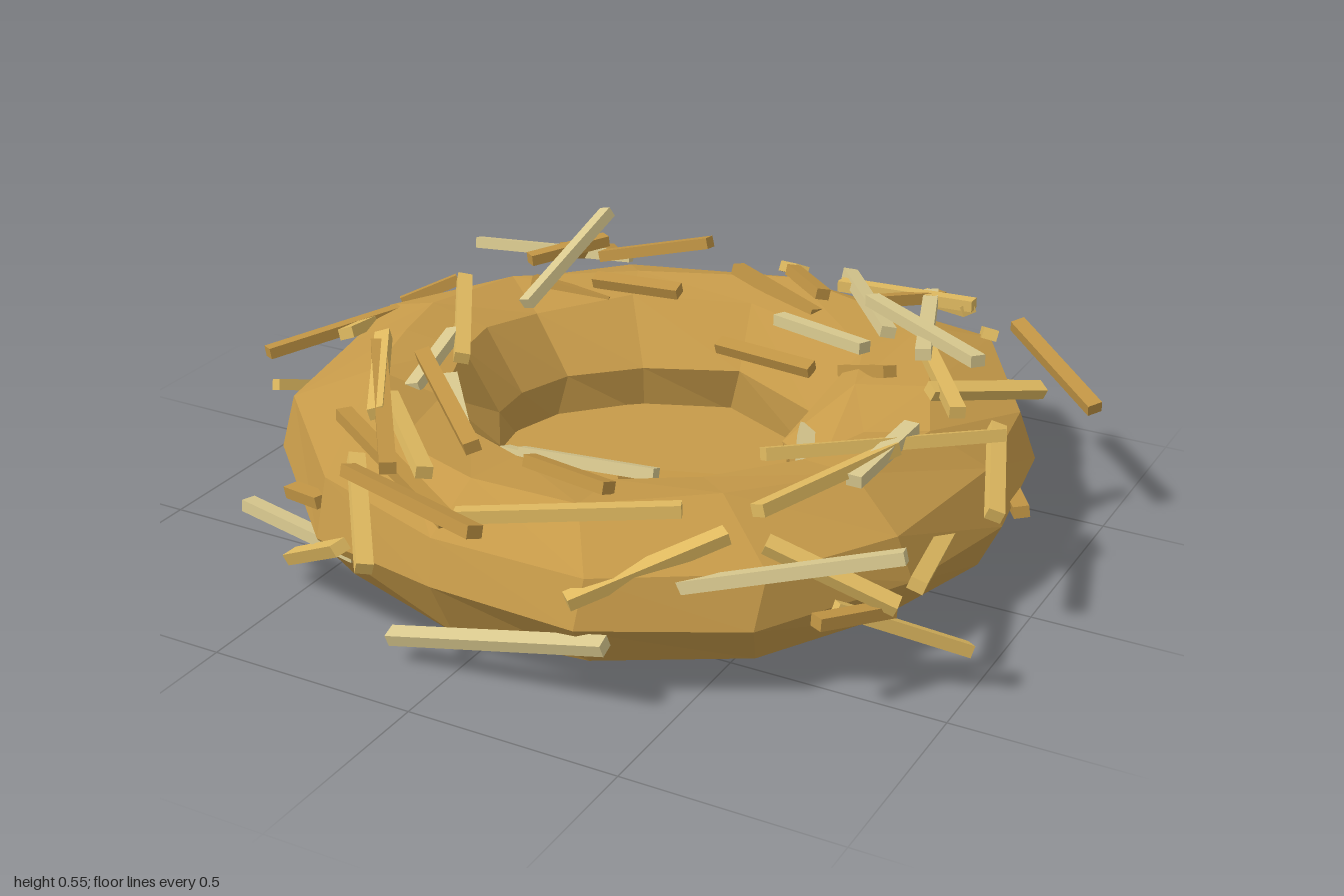
import * as THREE from 'three';

const mat = (name, color) => {
  const m = new THREE.MeshStandardMaterial({ color, flatShading: true });
  m.name = name;
  return m;
};

// Small seeded generator for the uneven surface and straw rolls
function seeded(seed) {
  return () => {
    seed = (seed * 16807) % 2147483647;
    return seed / 2147483647 - 0.5;
  };
}

// Outer rim (x, z, height) and inner radius of each section around the nest
const OUTER = [
  [0.06, -0.94, 0.29], [-0.43, -0.81, 0.22], [-0.77, -0.52, 0.2], [-0.87, -0.17, 0.21], [-0.83, 0.08, 0.22],
  [-0.75, 0.4, 0.2], [-0.4, 0.75, 0.2], [-0.05, 0.83, 0.21], [0.3, 0.83, 0.2], [0.62, 0.64, 0.19],
  [0.83, 0.3, 0.2], [0.9, -0.05, 0.19], [0.85, -0.4, 0.2], [0.63, -0.77, 0.22],
];
const INNER = [0.44, 0.42, 0.41, 0.39, 0.37, 0.35, 0.35, 0.35, 0.37, 0.4, 0.43, 0.45, 0.35, 0.43];
// Tube section: share of the way from outer rim to inner rim, height
const SECTION = [
  [0, 0], [0.07, 0.32], [0.42, 0.4], [0.76, 0.36],
  [1, 0.22], [0.96, 0.1], [0.52, 0.02], [0.15, 0.08],
];

function ringGeometry() {
  const rnd = seeded(77), pos = [], index = [];
  const n = OUTER.length, k = SECTION.length;
  OUTER.forEach(([ox, oz, oy], i) => {
    const r = Math.hypot(ox, oz);
    SECTION.forEach(([t, y], j) => {
      const rim = j === 0;
      const s = (r + (INNER[i] - r) * t + rnd() * (rim ? 0 : 0.04)) / r;
      const turn = rim ? 0 : rnd() * 0.1, c = Math.cos(turn) * s, d = Math.sin(turn) * s;
      const h = rim ? oy : Math.max(0.005, y + rnd() * (y < 0.05 ? 0.02 : 0.04));
      pos.push(ox * c - oz * d, h, oz * c + ox * d);
      const a = i * k + j, b = i * k + (j + 1) % k;
      const e = ((i + 1) % n) * k + j, f = ((i + 1) % n) * k + (j + 1) % k;
      index.push(a, e, b, b, e, f);
    });
  });
  // Make the faces point outward
  const p = [0, 1, 2].map(v => new THREE.Vector3().fromArray(pos, index[v] * 3));
  const normal = new THREE.Triangle(...p).getNormal(new THREE.Vector3());
  if (normal.dot(new THREE.Vector3(p[0].x, 0, p[0].z)) < 0) index.reverse();
  const g = new THREE.BufferGeometry();
  g.setAttribute('position', new THREE.Float32BufferAttribute(pos, 3));
  g.setIndex(index);
  const flat = g.toNonIndexed();
  flat.computeVertexNormals();
  return flat;
}

// Straws as end points: x, y, z, x, y, z
const GOLD = [
  [-0.23, 0.08, -0.94, 0.12, 0.2, -0.9], [-0.07, 0.32, -0.96, 0.03, 0.37, -0.84],
  [0.19, 0.4, -0.73, 0.55, 0.41, -0.74], [0.54, 0.28, -0.88, 0.63, 0.38, -0.65],
  [0.69, 0.2, -0.78, 0.71, 0.3, -0.55], [0.35, 0.34, -0.9, 0.54, 0.4, -0.73],
  [0.55, 0.42, -0.42, 0.76, 0.42, -0.1], [0.84, 0.36, -0.44, 0.66, 0.42, -0.18],
  [0.83, 0.37, -0.17, 0.95, 0.32, 0.15], [0.87, 0.39, -0.1, 0.48, 0.43, 0.32],
  [0.7, 0.41, 0.12, 0.57, 0.41, 0.53], [0.83, 0.23, 0.12, 0.89, 0.27, 0.43],
  [0.96, 0.06, 0.28, 0.73, 0.2, 0.48], [0.87, 0.24, 0.48, 0.6, 0.35, 0.55],
  [0.43, 0.41, 0.6, 0.0, 0.38, 0.8], [0.52, 0.36, 0.57, 0.28, 0.26, 0.82],
  [-0.62, 0.42, 0.15, -0.38, 0.42, 0.53], [-0.65, 0.42, -0.26, -0.43, 0.38, 0.1],
  [-0.89, 0.27, -0.29, -0.79, 0.36, 0.07], [-0.98, 0.2, 0.12, -0.76, 0.08, -0.29],
  [-0.55, 0.07, 0.65, -0.24, 0.28, 0.88], [-0.42, 0.41, 0.42, -0.12, 0.42, 0.73],
  [-0.34, 0.38, 0.67, -0.13, 0.29, 0.95],
];
const TAN = [
  [-0.73, 0.37, -0.35, -0.84, 0.32, -0.25], [-0.48, 0.36, -0.75, -0.56, 0.4, -0.6],
  [-0.42, 0.42, -0.57, -0.11, 0.51, -0.58], [-0.39, 0.39, -0.48, -0.15, 0.4, -0.49],
  [-0.08, 0.41, -0.68, 0.2, 0.38, -0.56], [0.0, 0.31, -0.42, 0.27, 0.31, -0.39],
  [0.68, 0.4, -0.7, 0.96, 0.32, -0.48], [0.05, 0.41, -0.74, 0.2, 0.42, -0.6],
  [0.12, 0.28, 0.3, 0.38, 0.31, 0.27], [0.0, 0.38, 0.5, 0.24, 0.4, 0.57],
  [-0.6, 0.42, 0.2, -0.2, 0.42, 0.75], [-0.5, 0.4, 0.16, -0.12, 0.4, 0.54],
  [-0.32, 0.38, 0.73, 0.14, 0.44, 0.94], [-0.53, 0.25, 0.66, -0.4, 0.28, 0.72],
  [-0.47, 0.4, 0.53, 0.0, 0.38, 0.83], [0.45, 0.4, -0.78, 0.33, 0.42, -0.62],
  [0.36, 0.33, -0.38, 0.52, 0.4, -0.28], [0.82, 0.17, -0.3, 0.92, 0.2, -0.12],
  [-0.6, 0.4, -0.5, -0.47, 0.42, -0.68], [0.75, 0.24, 0.62, 0.85, 0.22, 0.46],
  [-0.99, 0.29, 0.13, -0.8, 0.33, -0.18], [-0.54, 0.38, -0.42, -0.33, 0.35, -0.45],
];
const PALE = [
  [0.18, 0.4, -0.81, 0.45, 0.43, -0.43], [0.42, 0.4, -0.78, 0.6, 0.46, -0.28],
  [0.14, 0.39, -0.47, 0.42, 0.41, -0.36], [0.35, 0.45, -0.56, 0.75, 0.49, -0.24],
  [0.7, 0.42, 0.02, 0.68, 0.4, 0.29], [0.91, 0.4, 0.55, 0.45, 0.27, 0.68],
  [-0.15, 0.07, 0.84, 0.37, 0.18, 0.82], [-0.65, 0.19, 0.67, -0.3, 0.18, 0.74],
  [-0.42, 0.36, 0.17, -0.29, 0.31, 0.32], [-0.17, 0.29, 0.33, 0.0, 0.3, 0.35],
  [-0.83, 0.37, -0.61, -0.4, 0.38, -0.69], [-0.46, 0.39, -0.25, -0.41, 0.54, -0.58],
  [-0.52, 0.39, -0.01, -0.46, 0.36, 0.27], [0.36, 0.26, -0.17, 0.46, 0.28, 0.06],
  [0.46, 0.27, 0.03, 0.35, 0.23, 0.18], [-0.1, 0.32, 0.37, 0.23, 0.33, 0.34],
];

export function createModel() {
  const model = new THREE.Group();
  model.name = 'nest';
  const earth = mat('nest brown', 0xc69a49);

  // Woven ring
  const ring = new THREE.Mesh(ringGeometry(), earth);
  ring.name = 'ring';
  model.add(ring);

  // Floor disc
  const floor = new THREE.Mesh(new THREE.CylinderGeometry(0.55, 0.55, 0.1, 20), earth);
  floor.name = 'floor';
  floor.position.set(0, 0.07, -0.03);
  model.add(floor);

  // Loose straws, each rolled a little about its length
  const roll = seeded(31);
  const sets = [
    ['goldStraw', GOLD, mat('gold straw', 0xe0ba60)],
    ['tanStraw', TAN, mat('tan straw', 0xc09444)],
    ['paleStraw', PALE, mat('pale straw', 0xd8c88e)],
  ];
  for (const [name, list, material] of sets) {
    const group = new THREE.Group();
    group.name = name + 's';
    for (const s of list) {
      const a = new THREE.Vector3(s[0], s[1], s[2]), b = new THREE.Vector3(s[3], s[4], s[5]);
      const straw = new THREE.Mesh(new THREE.BoxGeometry(0.037, 0.028, a.distanceTo(b)), material);
      straw.name = name;
      straw.position.copy(a).lerp(b, 0.5);
      straw.lookAt(b);
      straw.rotateZ(roll() * 0.8);
      group.add(straw);
    }
    model.add(group);
  }
  return model;
}
